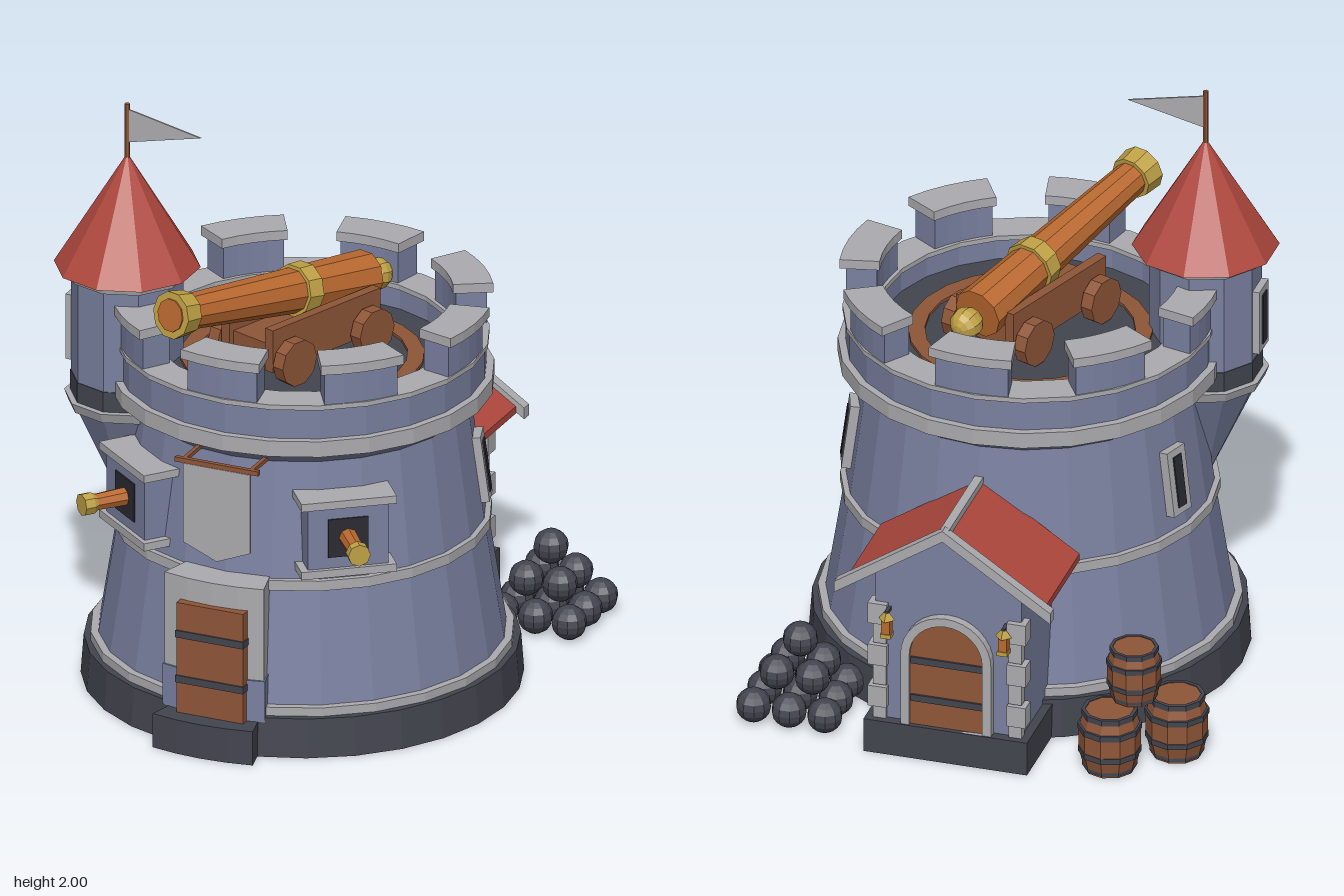
import * as THREE from 'three';

const mat = (name, color, extra = {}) =>
  Object.assign(new THREE.MeshStandardMaterial({ color, flatShading: true, ...extra }), { name });
const M = {
  stone: mat('blueStone', 0x7a80a0),
  light: mat('lightStone', 0xacacb0, { side: THREE.DoubleSide }),
  dark: mat('darkStone', 0x43454f),
  black: mat('blackOpening', 0x2a2b32),
  wood: mat('wood', 0x8f5638),
  copper: mat('copper', 0xbb6a30),
  gold: mat('gold', 0xbfa145),
  red: mat('roofRed', 0xb0483e),
};
const CX = 0.03, CZ = 0.08;

function add(parent, name, geo, material, pos = [0, 0, 0], rot = [0, 0, 0]) {
  const m = new THREE.Mesh(geo, material);
  m.name = name;
  m.position.set(...pos);
  m.rotation.set(...rot);
  parent.add(m);
  return m;
}
function group(parent, name, pos = [0, 0, 0], yaw = 0) {
  const g = new THREE.Group();
  g.name = name;
  g.position.set(...pos);
  g.rotation.y = yaw;
  parent.add(g);
  return g;
}
const box = (w, h, d) => new THREE.BoxGeometry(w, h, d);
const cyl = (rTop, rBottom, h, n = 10) => new THREE.CylinderGeometry(rTop, rBottom, h, n);
const lathe = (pts, n = 24) => new THREE.LatheGeometry(pts.map(p => new THREE.Vector2(...p)), n);
const ring = (r0, r1, y0, y1, n = 24) => lathe([[r0, y0], [r1, y0], [r1, y1], [r0, y1], [r0, y0]], n);
const rad = THREE.MathUtils.degToRad;

// Block of a ring; angle in degrees from +z towards +x
function sector(r0, r1, y0, y1, mid, half, steps = 4) {
  const pts = [];
  for (const [r, s] of [[r1, 1], [r0, -1]])
    for (let i = 0; i <= steps; i++) {
      const a = rad(mid + s * half * (2 * i / steps - 1));
      pts.push(new THREE.Vector2(r * Math.sin(a), -r * Math.cos(a)));
    }
  const g = new THREE.ExtrudeGeometry(new THREE.Shape(pts), { depth: y1 - y0, bevelEnabled: false });
  return g.rotateX(-Math.PI / 2).translate(0, y0, 0);
}
function extrude(pts, depth) {
  const s = new THREE.Shape(pts.map(p => new THREE.Vector2(...p)));
  return new THREE.ExtrudeGeometry(s, { depth, bevelEnabled: false });
}

function buildTower(root) {
  const t = group(root, 'tower', [CX, 0, CZ]);
  add(t, 'base', cyl(0.715, 0.725, 0.135, 28), M.dark, [0, 0.0675, 0]);
  add(t, 'body', lathe([[0.675, 0.13], [0.605, 0.57], [0.55, 0.98], [0.605, 1.035], [0.605, 1.2]]), M.stone);
  add(t, 'baseTrim', ring(0.6, 0.695, 0.135, 0.165), M.light);
  add(t, 'middleTrim', ring(0.5, 0.622, 0.55, 0.585), M.light);
  add(t, 'upperTrim', ring(0.5, 0.63, 1.03, 1.085), M.light);
  add(t, 'parapetInside', lathe([[0.5, 1.2], [0.5, 1.1]]), M.stone);
  add(t, 'parapetTop', ring(0.495, 0.615, 1.19, 1.207), M.light);
  add(t, 'floor', cyl(0.51, 0.51, 0.04, 24), M.dark, [0, 1.1, 0]);
  add(t, 'floorRing', ring(0.345, 0.4, 1.11, 1.13), M.wood);
  for (let i = 0; i < 8; i++) {
    add(t, 'merlon', sector(0.505, 0.607, 1.2, 1.325, i * 45 - 1.5, 12), M.stone);
    add(t, 'merlonCap', sector(0.495, 0.627, 1.32, 1.353, i * 45 - 1.5, 13.2), M.light);
  }

  // Front entrance
  add(t, 'step', sector(0.6, 0.8, 0, 0.12, 0, 13), M.dark);
  add(t, 'doorFrame', sector(0.5, 0.712, 0.12, 0.59, 0, 14.5), M.light);
  for (const s of [-1, 1])
    add(t, 'frameFoot', sector(0.6, 0.718, 0.12, 0.265, s * 12.3, 2.6, 1), M.stone);
  add(t, 'door', box(0.24, 0.39, 0.05), M.wood, [0.005, 0.315, 0.71]);
  for (const y of [0.24, 0.4]) add(t, 'doorBand', box(0.244, 0.025, 0.05), M.dark, [0.005, y, 0.715]);

  // Banner
  add(t, 'banner', extrude([[-0.12, 0.98], [-0.12, 0.7], [0, 0.65], [0.12, 0.7], [0.12, 0.98]], 0.008), M.light, [0, 0, 0.663]);
  add(t, 'bannerRod', box(0.3, 0.016, 0.016), M.wood, [0, 0.99, 0.665]);
  for (const x of [-0.12, 0.12]) add(t, 'bannerBracket', box(0.014, 0.014, 0.13), M.wood, [x, 0.99, 0.6]);

  // Gun ports and arrow slits
  for (const s of [-1, 1]) {
    const p = group(t, 'gunPort', [0, 0.75, 0], s * rad(38));
    add(p, 'portBlock', box(0.27, 0.24, 0.2), M.stone, [0, 0, 0.55]);
    for (const y of [-0.12, 0.122]) add(p, 'portLedge', box(0.32, 0.027, 0.22), M.light, [0, y, 0.555]);
    add(p, 'portOpening', box(0.135, 0.135, 0.008), M.black, [0, 0, 0.651]);
    const turn = [Math.PI / 2, 0, 0];
    add(p, 'gunBarrel', cyl(0.028, 0.034, 0.2, 8), M.copper, [0, 0, 0.68], turn);
    add(p, 'gunMuzzle', cyl(0.038, 0.038, 0.035, 8), M.gold, [0, 0, 0.795], turn);
    add(p, 'gunCollar', cyl(0.038, 0.026, 0.02, 8), M.gold, [0, 0, 0.768], turn);

    const a = s * rad(109);
    const w = group(t, 'arrowSlit', [0.58 * Math.sin(a), 0.757, 0.58 * Math.cos(a)], a);
    w.rotation.order = 'YXZ';
    w.rotation.x = -0.13;
    add(w, 'slitFrame', box(0.095, 0.23, 0.05), M.light);
    add(w, 'slitOpening', box(0.042, 0.18, 0.008), M.black, [0, 0, 0.026]);
  }
}

function buildTurret(root) {
  const t = group(root, 'turret', [-0.508, 0, 0.28]);
  add(t, 'corbel', cyl(0.185, 0.02, 0.35), M.stone, [0, 0.77, 0]);
  add(t, 'lowerTrim', cyl(0.208, 0.195, 0.035), M.light, [0, 0.957, 0]);
  add(t, 'lowerBand', cyl(0.188, 0.188, 0.07), M.dark, [0, 1.01, 0]);
  add(t, 'turretWall', cyl(0.185, 0.185, 0.38), M.stone, [0, 1.23, 0]);
  add(t, 'upperTrim', cyl(0.208, 0.2, 0.03), M.light, [0, 1.415, 0]);
  add(t, 'roof', new THREE.ConeGeometry(0.242, 0.395, 10), M.red, [0, 1.627, 0]);
  add(t, 'pole', cyl(0.009, 0.009, 0.2, 6), M.wood, [0, 1.9, 0]);
  add(t, 'flag', extrude([[0.008, 1.98], [0.008, 1.865], [0.265, 1.925]], 0.006), M.light, [0, 0, -0.003]);
  add(t, 'windowFrame', box(0.03, 0.23, 0.1), M.light, [-0.185, 1.19, 0]);
  add(t, 'windowOpening', box(0.008, 0.18, 0.045), M.black, [-0.201, 1.19, 0]);
}

function buildCannon(root) {
  // Wheeled carriage
  const c = group(root, 'carriage', [0.03, 1.12, 0.09], rad(-20));
  add(c, 'carriageBed', box(0.17, 0.08, 0.46), M.wood, [0, 0.1, 0]);
  for (const s of [-1, 1]) {
    add(c, 'cheek', box(0.035, 0.15, 0.5), M.wood, [s * 0.1, 0.13, 0]);
    for (const z of [-0.18, 0.18])
      add(c, 'wheel', cyl(0.08, 0.08, 0.045), M.wood, [s * 0.15, 0.085, z], [0, 0, Math.PI / 2]);
  }
  // Barrel runs along local y from breech to muzzle
  const from = new THREE.Vector3(0.145, 1.305, -0.25), to = new THREE.Vector3(-0.18, 1.46, 0.68);
  const g = group(root, 'mainCannon', from.toArray());
  g.quaternion.setFromUnitVectors(new THREE.Vector3(0, 1, 0), to.clone().sub(from).normalize());
  add(g, 'barrel', cyl(0.058, 0.088, 0.88), M.copper, [0, 0.5, 0]);
  add(g, 'breechKnob', new THREE.SphereGeometry(0.055, 10, 8), M.gold);
  add(g, 'barrelBand', cyl(0.088, 0.092, 0.06), M.gold, [0, 0.375, 0]);
  add(g, 'muzzleRing', cyl(0.08, 0.074, 0.07), M.gold, [0, 0.945, 0]);
  add(g, 'bore', cyl(0.056, 0.056, 0.008), M.copper, [0, 0.981, 0]);
}

// Arched outline standing on y0
function arch(w, y0, spring) {
  const s = new THREE.Shape();
  s.moveTo(-w, y0);
  s.lineTo(w, y0);
  s.lineTo(w, spring);
  s.absarc(0, spring, w, 0, Math.PI, false);
  return s;
}

function buildGatehouse(root) {
  const h = group(root, 'gatehouse', [CX, 0, 0]);
  const chevron = (w, top, eave, t) =>
    [[-w, eave], [-w, eave - t], [0, top - t], [w, eave - t], [w, eave], [0, top]];
  add(h, 'gatehouseBase', box(0.56, 0.12, 0.42), M.dark, [0, 0.06, -0.645]);
  add(h, 'gatehouseWall', extrude([[-0.25, 0.1], [0.25, 0.1], [0.25, 0.665], [0, 0.83], [-0.25, 0.665]], 0.4), M.stone, [0, 0, -0.82]);
  add(h, 'roof', extrude(chevron(0.34, 0.86, 0.635, 0.025), 0.39), M.red, [0, 0, -0.86]);
  add(h, 'gableTrim', extrude(chevron(0.37, 0.882, 0.635, 0.04), 0.037), M.light, [0, 0, -0.887]);
  add(h, 'ridge', box(0.03, 0.025, 0.38), M.light, [0, 0.862, -0.67]);
  // Arched door
  const frame = arch(0.155, 0.12, 0.38);
  frame.holes.push(arch(0.125, 0.12, 0.38));
  add(h, 'archFrame', new THREE.ExtrudeGeometry(frame, { depth: 0.04, bevelEnabled: false, curveSegments: 8 }), M.light, [0, 0, -0.85]);
  add(h, 'backDoor', new THREE.ExtrudeGeometry(arch(0.126, 0.12, 0.38), { depth: 0.03, bevelEnabled: false, curveSegments: 8 }), M.wood, [0, 0, -0.838]);
  for (const y of [0.22, 0.36]) add(h, 'doorBand', box(0.245, 0.024, 0.02), M.dark, [0, y, -0.835]);
  for (const s of [-1, 1]) {
    for (let i = 0; i < 6; i++) {
      const w = i % 2 ? 0.065 : 0.045;
      if (i % 2) add(h, 'cornerStone', box(w, 0.075, 0.055), M.light, [s * 0.238, 0.125 + i * 0.077, -0.813]);
      else add(h, 'cornerStone', box(w, 0.07, 0.03), M.light, [s * 0.232, 0.125 + i * 0.077, -0.817]);
    }
    const l = group(h, 'lantern', [s * 0.2, 0.48, -0.855]);
    add(l, 'lanternGlass', box(0.03, 0.05, 0.03), M.copper);
    add(l, 'lanternBase', box(0.036, 0.015, 0.036), M.gold, [0, -0.032, 0]);
    add(l, 'lanternCap', cyl(0.01, 0.028, 0.025, 4), M.gold, [0, 0.037, 0]);
    add(l, 'lanternArm', box(0.012, 0.012, 0.05), M.dark, [0, 0.05, 0.02]);
  }
}

function buildSupplies(root) {
  // Barrels
  for (const [x, y, z, k] of [[-0.67, 0, -0.555, 1], [-0.49, 0, -0.715, 1], [-0.545, 0.222, -0.625, 0.87]]) {
    const b = group(root, 'barrel', [x, y, z]);
    b.scale.setScalar(k);
    add(b, 'staves', lathe([[0, 0], [0.085, 0], [0.102, 0.07], [0.102, 0.15], [0.085, 0.215], [0, 0.215]], 10), M.wood);
    for (const [hy, r] of [[0.008, 0.09], [0.06, 0.104], [0.145, 0.106], [0.198, 0.093]])
      add(b, 'hoop', ring(0.08, r, hy, hy + 0.02, 10), M.dark);
  }
  // Pyramid of cannonballs
  const balls = group(root, 'cannonballPile', [0.592, 0, -0.643]);
  const ball = new THREE.SphereGeometry(0.059, 10, 8);
  for (let n = 3; n > 0; n--)
    for (let i = 0; i < n; i++)
      for (let j = 0; j < n; j++)
        add(balls, 'cannonball', ball, M.dark,
          [(i - (n - 1) / 2) * 0.122, 0.059 + (3 - n) * 0.101, (j - (n - 1) / 2) * 0.122]);
}

export function createModel() {
  const root = new THREE.Group();
  root.name = 'cannonTower';
  buildTower(root);
  buildTurret(root);
  buildCannon(root);
  buildGatehouse(root);
  buildSupplies(root);
  return root;
}
